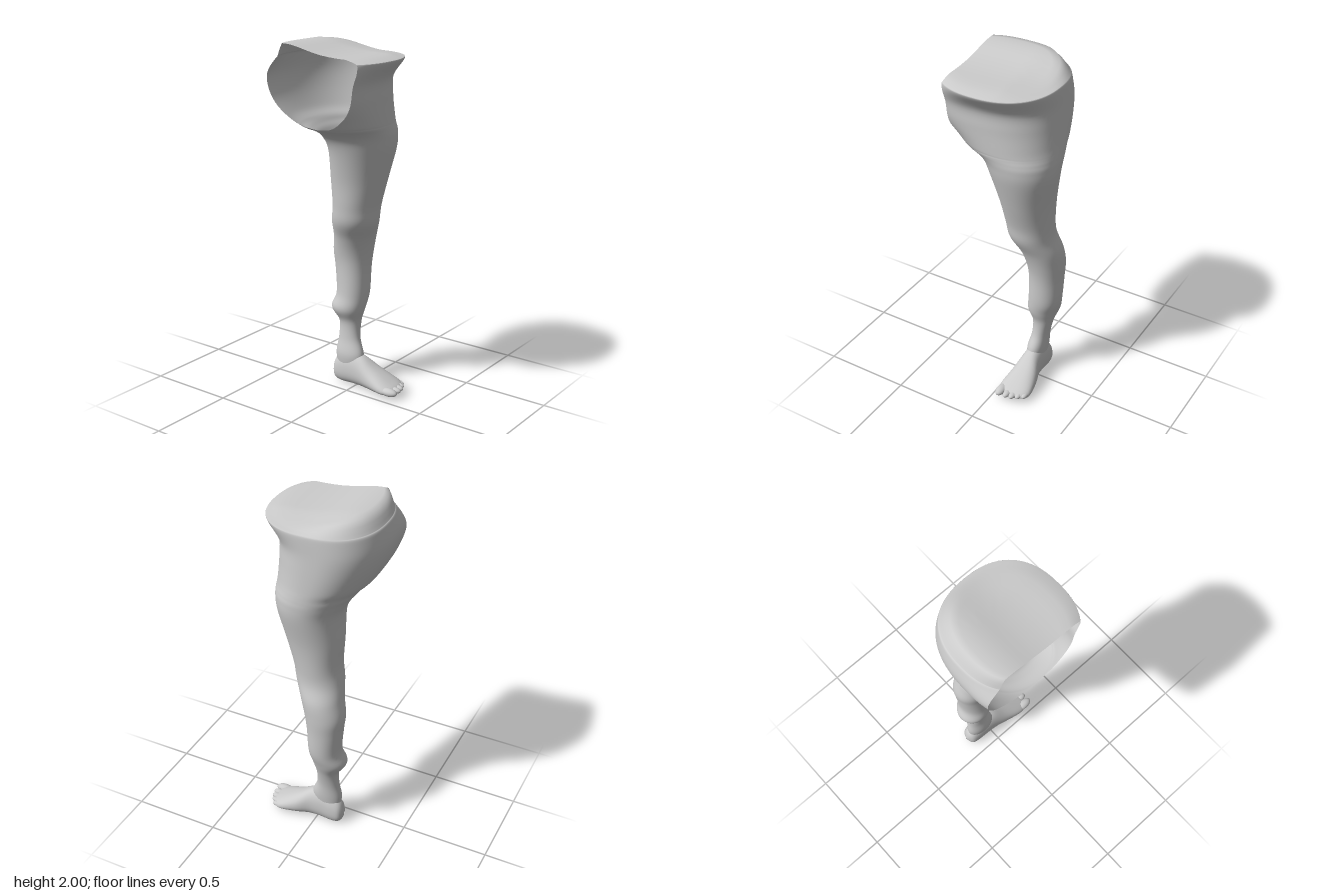
import * as THREE from 'three';
import { mergeVertices } from 'three/addons/utils/BufferGeometryUtils.js';

const CUT = -0.278; // plane of the open hip joint
const SEG = 56;
const material = new THREE.MeshStandardMaterial({ color: 0xcccccc, side: THREE.DoubleSide });

// Smoothly resample rows of section parameters
function smoothRows(rows, steps) {
  const out = [];
  for (let i = 0; i < rows.length - 1; i++) {
    const [a, b, c, d] = [i - 1, i, i + 1, i + 2].map(k => rows[THREE.MathUtils.clamp(k, 0, rows.length - 1)]);
    for (let s = 0; s < steps; s++) {
      const t = s / steps;
      out.push(b.map((v, k) => v + 0.5 * t * (c[k] - a[k] +
        t * (2 * a[k] - 5 * v + 4 * c[k] - d[k] + t * (3 * (v - c[k]) + d[k] - a[k])))));
    }
  }
  out.push(rows[rows.length - 1]);
  return out;
}

// Skin a list of equally long point rings
function skin(rings, name) {
  const n = rings[0].length, index = [];
  for (let r = 0; r < rings.length - 1; r++) {
    for (let i = 0; i < n - 1; i++) {
      const a = r * n + i, b = a + n;
      index.push(a, b, a + 1, a + 1, b, b + 1);
    }
  }
  let geo = new THREE.BufferGeometry();
  geo.setAttribute('position', new THREE.Float32BufferAttribute(rings.flat(2), 3));
  geo.setIndex(index);
  geo = mergeVertices(geo, 1e-5);
  geo.computeVertexNormals();
  const mesh = new THREE.Mesh(geo, material);
  mesh.name = name;
  return mesh;
}

const power = (v, p) => Math.sign(v) * Math.abs(v) ** p;

// Horizontal section, squarer at the hip and left open where it would pass the cut
function legRing([y, x0, x1, z0, z1]) {
  const p = 0.96 - 0.11 * THREE.MathUtils.smoothstep(y, 1.45, 1.8);
  const cx = (x0 + x1) / 2, rx = (x1 - x0) / 2, cz = (z0 + z1) / 2, rz = (z1 - z0) / 2;
  const c = (cx - CUT) / rx;
  const end = c < 1 ? Math.PI - Math.acos(c ** (1 / p)) : Math.PI;
  return Array.from({ length: SEG + 1 }, (_, i) => {
    const t = end * (2 * i / SEG - 1);
    return [cx + rx * power(Math.cos(t), p), y, cz + rz * power(Math.sin(t), p)];
  });
}

// Height of the gently domed top
const topHeight = (x, z) =>
  1.947 + 0.052 * Math.exp(-(((z + 0.2) / 0.19) ** 2)) - 0.1 * Math.max(0, x - 0.05);

function createLeg() {
  // y, inner x, outer x, back z, front z
  const rows = [
    [0.08, 0.07, 0.15, -0.13, 0.02], [0.18, 0.055, 0.162, -0.144, 0.035],
    [0.28, 0.072, 0.17, -0.133, 0], [0.38, 0.073, 0.192, -0.135, -0.004],
    [0.46, 0.04, 0.22, -0.18, 0.018], [0.55, 0.052, 0.242, -0.155, 0.033],
    [0.7, 0.054, 0.25, -0.166, 0.04], [0.8, 0.042, 0.255, -0.175, 0.055],
    [0.9, 0.012, 0.25, -0.155, 0.082], [1, -0.035, 0.222, -0.138, 0.125],
    [1.1, -0.05, 0.22, -0.124, 0.143], [1.25, -0.07, 0.232, -0.13, 0.186],
    [1.42, -0.113, 0.262, -0.13, 0.232], [1.5, -0.15, 0.27, -0.16, 0.245],
    [1.54, -0.205, 0.27, -0.19, 0.248], [1.57, -0.277, 0.269, -0.215, 0.25],
    [1.62, -0.34, 0.267, -0.262, 0.252], [1.72, -0.46, 0.264, -0.313, 0.256],
    [1.82, -0.5, 0.26, -0.332, 0.264], [1.91, -0.4, 0.257, -0.31, 0.323],
    [1.928, -0.385, 0.252, -0.298, 0.328],
  ];
  const rings = smoothRows(rows, 6).map(legRing);
  // Domed top, drawn in to a ridge that ends at the hip cut
  const rim = rings[rings.length - 1];
  for (const s of [0.96, 0.9, 0.8, 0.65, 0.5, 0.35, 0.2, 0.1, 0]) {
    const lift = Math.min(1, (1 - s) * 6);
    rings.push(rim.map(([x, y, z]) => {
      const px = CUT + (x - CUT) * (0.45 + 0.55 * s), pz = -0.08 + (z + 0.08) * s;
      return [px, y + (topHeight(px, pz) - y) * lift, pz];
    }));
  }
  return skin(rings, 'leg');
}

function createFoot() {
  // z, centre x, half width, sole y, instep y, from toes to heel
  const rows = [
    [0.28, 0.11, 0.003, 0.035, 0.042], [0.268, 0.11, 0.065, 0.024, 0.057],
    [0.22, 0.115, 0.095, 0.01, 0.082], [0.12, 0.115, 0.082, 0.006, 0.135],
    [0.04, 0.11, 0.062, 0.006, 0.185], [-0.03, 0.11, 0.056, 0.004, 0.2],
    [-0.1, 0.112, 0.053, 0, 0.18], [-0.145, 0.112, 0.042, 0.014, 0.14],
    [-0.165, 0.112, 0.004, 0.06, 0.08],
  ];
  const rings = smoothRows(rows, 4).map(([z, cx, w, y0, y1]) =>
    Array.from({ length: 41 }, (_, i) => {
      const t = 2 * Math.PI * i / 40 - Math.PI / 2;
      const up = Math.sin(t);
      // Narrower towards the instep than at the sole
      return [cx + w * power(Math.cos(t), 0.85) * (1 - 0.12 * up),
        Math.max(0, (y0 + y1) / 2 + (y1 - y0) / 2 * power(up, 0.9)), z];
    }));
  return skin(rings, 'foot');
}

function createToes() {
  const toes = new THREE.Group();
  toes.name = 'toes';
  // x, z, radius
  const list = [[0.048, 0.26, 0.028], [0.093, 0.272, 0.02], [0.128, 0.267, 0.019],
    [0.16, 0.253, 0.018], [0.189, 0.232, 0.018]];
  for (const [x, z, r] of list) {
    const toe = new THREE.Mesh(new THREE.SphereGeometry(r, 20, 14), material);
    toe.scale.set(1, 0.85, 1.9);
    toe.position.set(x, 0.042, z);
    toe.name = 'toe';
    toes.add(toe);
  }
  return toes;
}

export function createModel() {
  const model = new THREE.Group();
  model.name = 'legWithFoot';
  model.add(createLeg(), createFoot(), createToes());
  return model;
}
